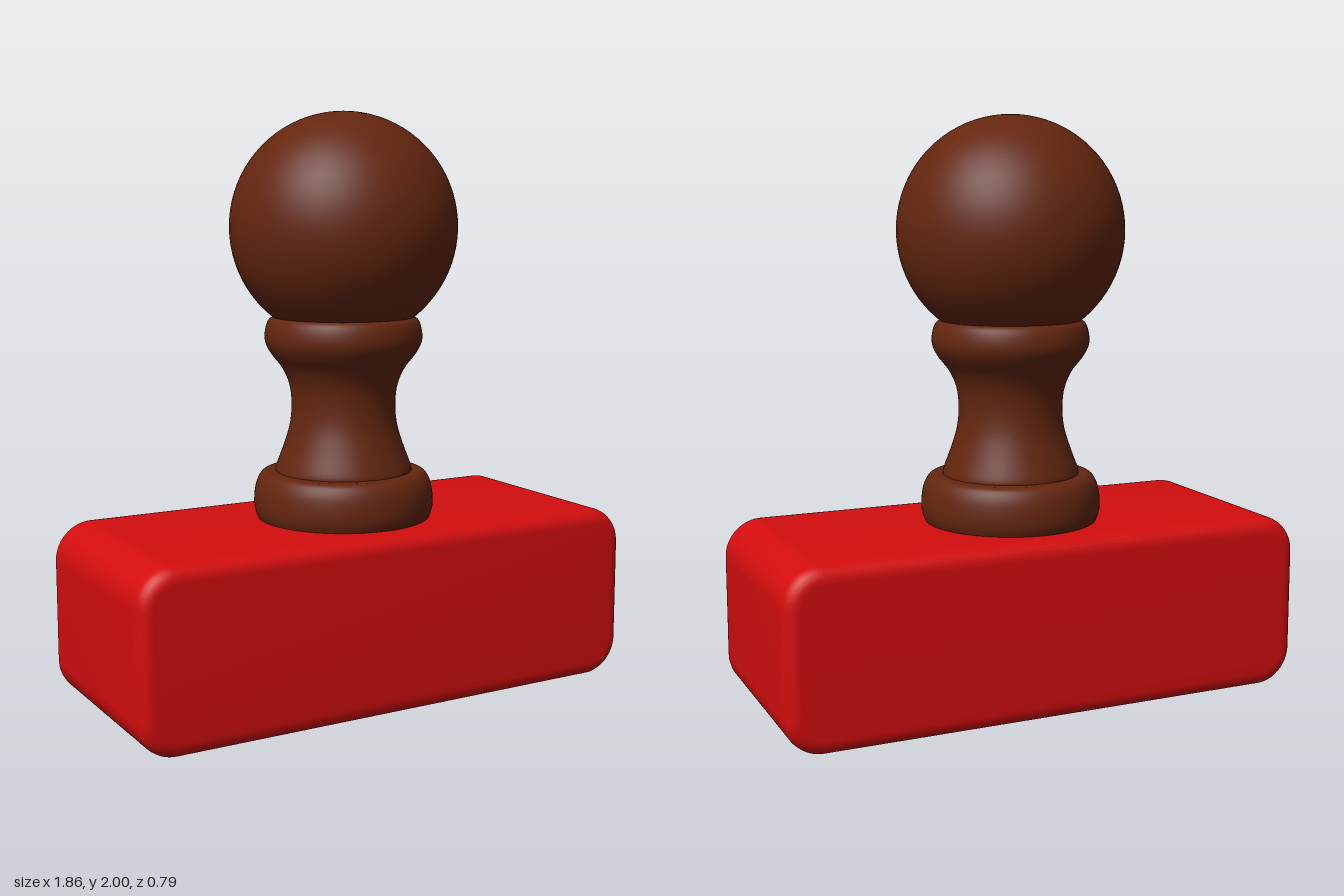
import * as THREE from 'three';
import { toCreasedNormals } from 'three/addons/utils/BufferGeometryUtils.js';

const WIDTH = 1.86, HEIGHT = 0.61, DEPTH = 0.79;
const CORNER = 0.13, BEVEL = 0.05;

// Rounded rectangle centred on the origin
function roundedRect(w, h, r) {
  const x = w / 2, y = h / 2, s = new THREE.Shape();
  s.moveTo(-x + r, -y);
  s.lineTo(x - r, -y);
  s.absarc(x - r, -y + r, r, -Math.PI / 2, 0);
  s.lineTo(x, y - r);
  s.absarc(x - r, y - r, r, 0, Math.PI / 2);
  s.lineTo(-x + r, y);
  s.absarc(-x + r, y - r, r, Math.PI / 2, Math.PI);
  s.lineTo(-x, -y + r);
  s.absarc(-x + r, -y + r, r, Math.PI, Math.PI * 1.5);
  return s;
}

// Smooth turned piece from [radius, height] pairs, bottom to top
function turned(profile, steps) {
  const curve = new THREE.SplineCurve(profile.map(([r, y]) => new THREE.Vector2(r, y)));
  return new THREE.LatheGeometry(curve.getPoints(steps), 64);
}

export function createModel() {
  const red = new THREE.MeshStandardMaterial({ name: 'red', color: 0xd40d0e });
  const brown = new THREE.MeshStandardMaterial({ name: 'dark brown wood', color: 0x64260f });
  const model = new THREE.Group();
  model.name = 'rubberStamp';

  function add(name, geometry, material, y = 0) {
    const mesh = new THREE.Mesh(geometry, material);
    mesh.name = name;
    mesh.position.y = y;
    model.add(mesh);
  }

  // Stamp block: wide rounded corners, with a tighter rounding front and back
  const block = new THREE.ExtrudeGeometry(
    roundedRect(WIDTH - 2 * BEVEL, HEIGHT - 2 * BEVEL, CORNER - BEVEL),
    { depth: DEPTH - 2 * BEVEL, bevelSize: BEVEL, bevelThickness: BEVEL, bevelSegments: 6, curveSegments: 10 }
  );
  block.translate(0, 0, -DEPTH / 2 + BEVEL);
  add('stampBlock', toCreasedNormals(block, 0.7), red, HEIGHT / 2);

  // Handle foot, a rounded ring on the block
  add('handleFoot', turned([
    [0.295, 0.6], [0.309, 0.635], [0.312, 0.675], [0.305, 0.725], [0.288, 0.76], [0.268, 0.772],
  ], 24), brown);
  const footTop = new THREE.CircleGeometry(0.268, 64).rotateX(-Math.PI / 2);
  add('footTop', footTop, brown, 0.772);

  // Waisted neck flaring into a rounded collar
  add('handleNeck', turned([
    [0.237, 0.77], [0.234, 0.79], [0.208, 0.86], [0.187, 0.93], [0.18, 1.0], [0.187, 1.07],
    [0.212, 1.13], [0.25, 1.18], [0.27, 1.22], [0.27, 1.26], [0.258, 1.295], [0.235, 1.309],
  ], 48), brown);

  // Ball grip
  add('ballGrip', new THREE.SphereGeometry(0.39, 64, 40), brown, 1.61);

  return model;
}
